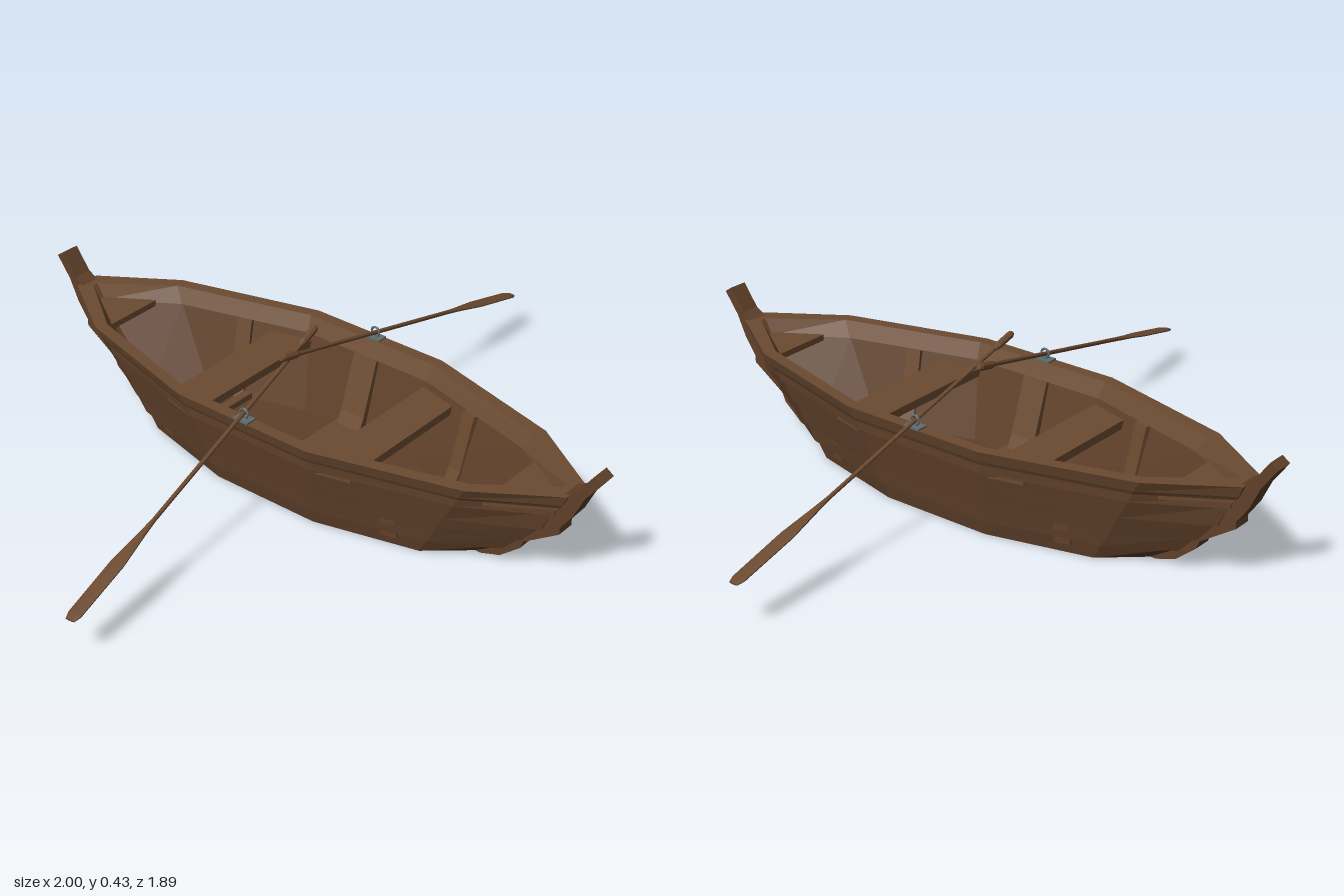
import * as THREE from 'three';

const wood = new THREE.MeshStandardMaterial({ color: 0x6b4a30, flatShading: true });
const darkWood = new THREE.MeshStandardMaterial({ color: 0x5f4029, flatShading: true });
const metal = new THREE.MeshStandardMaterial({ color: 0x5f6b6c, flatShading: true });

function add(parent, name, geometry, material = wood) {
  const mesh = new THREE.Mesh(geometry, material);
  mesh.name = name;
  parent.add(mesh);
  return mesh;
}

// Skin over a stack of equal rings (counter-clockwise about +y), closed at both ends
function loft(rings) {
  const n = rings[0].length, pos = [], index = [];
  rings.forEach(r => r.forEach(p => pos.push(...p)));
  for (let k = 0; k < rings.length - 1; k++) {
    for (let i = 0; i < n; i++) {
      const a = k * n + i, b = k * n + (i + 1) % n;
      index.push(a, b, b + n, a, b + n, a + n);
    }
  }
  const last = (rings.length - 1) * n;
  for (let i = 1; i < n - 1; i++) index.push(0, i + 1, i, last, last + i, last + i + 1);
  const g = new THREE.BufferGeometry();
  g.setAttribute('position', new THREE.Float32BufferAttribute(pos, 3));
  g.setIndex(index);
  const flat = g.toNonIndexed();
  flat.computeVertexNormals();
  return flat;
}

// Flat plate: outline in [x, z], lying from y to y + h
function slab(outline, y, h) {
  const shape = new THREE.Shape(outline.map(([x, z]) => new THREE.Vector2(x, -z)));
  return new THREE.ExtrudeGeometry(shape, { depth: h, bevelEnabled: false })
    .rotateX(-Math.PI / 2).translate(0, y, 0);
}

// Upright plate: outline in [x, y], centred on z
function plate(outline, depth) {
  const shape = new THREE.Shape(outline.map(p => new THREE.Vector2(...p)));
  return new THREE.ExtrudeGeometry(shape, { depth, bevelEnabled: false }).translate(0, 0, -depth / 2);
}

// Piecewise linear end position of the planking at height y
function endZ(y) {
  const pts = [[0, 0.58], [0.02, 0.63], [0.07, 0.69], [0.16, 0.78], [0.25, 0.83], [0.3, 0.85]];
  for (let i = 1; i < pts.length; i++) {
    if (y <= pts[i][0]) {
      return THREE.MathUtils.mapLinear(y, pts[i - 1][0], pts[i][0], pts[i - 1][1], pts[i][1]);
    }
  }
  return 0.85;
}

// Twelve-sided plan outline of the boat at height y, moved outward by d
function hullRing(y, d) {
  const t = y / 0.295, mix = THREE.MathUtils.lerp;
  const w1 = mix(0.2, 0.287, t) + d, z1 = mix(0.17, 0.22, t);
  const w2 = mix(0.125, 0.172, t) + d, z2 = mix(0.47, 0.64, t) + d * 0.3;
  const w3 = Math.max(0.03 + d, 0.008), z3 = endZ(y) + d;
  return [[w1, z1], [w1, -z1], [w2, -z2], [w3, -z3], [-w3, -z3], [-w2, -z2],
    [-w1, -z1], [-w1, z1], [-w2, z2], [-w3, z3], [w3, z3], [w2, z2]].map(([x, z]) => [x, y, z]);
}

function makeOar(name, tip, grip) {
  // Stations: distance from the blade tip, half width, half thickness
  const length = tip.distanceTo(grip);
  const stations = [[0, 0.014, 0.003], [0.02, 0.021, 0.004], [0.2, 0.022, 0.004], [0.31, 0.01, 0.006],
    [0.36, 0.006, 0.006], [length - 0.08, 0.006, 0.006], [length - 0.065, 0.011, 0.011],
    [length - 0.01, 0.011, 0.011], [length, 0.007, 0.007]];
  const rings = stations.map(([s, a, b]) => Array.from({ length: 8 }, (_, i) => {
    const q = (i + 0.5) * Math.PI / 4;
    return [a * Math.cos(q), s, -b * Math.sin(q)];
  }));
  const along = grip.clone().sub(tip).normalize();
  const across = new THREE.Vector3().crossVectors(along, new THREE.Vector3(0, 1, 0)).normalize();
  const up = new THREE.Vector3().crossVectors(across, along);
  const m = new THREE.Matrix4().makeBasis(across, along, up).setPosition(tip);
  const mesh = new THREE.Mesh(loft(rings).applyMatrix4(m), wood);
  mesh.name = name;
  return mesh;
}

export function createModel() {
  const model = new THREE.Group();
  model.name = 'rowingBoat';
  const boat = new THREE.Group();
  boat.name = 'boat';
  boat.position.x = 0.029;
  model.add(boat);

  // Overlapping planks outside, smooth wall and floor inside
  const edges = [0, 0.05, 0.1, 0.16, 0.22, 0.25];
  const rings = [];
  for (let i = 0; i < edges.length - 1; i++) {
    rings.push(hullRing(edges[i], i ? 0.005 : 0), hullRing(edges[i + 1], -0.003));
  }
  rings.push(hullRing(0.25, -0.027), hullRing(0.03, -0.027));
  add(boat, 'hull', loft(rings), darkWood);

  // Rim running all the way round
  const rim = [[0.25, -0.033], [0.25, 0.005], [0.262, 0.008], [0.295, 0.01], [0.295, -0.025], [0.25, -0.033]];
  const rimRings = rim.map(([y, d]) => hullRing(y, d));
  const rimGeometry = loft(rimRings);
  // Leave out the two end caps so the rim stays open
  const sides = (rimRings.length - 1) * 12 * 6;
  rimGeometry.setDrawRange(0, sides);
  for (const key of ['position', 'normal']) {
    const a = rimGeometry.getAttribute(key);
    rimGeometry.setAttribute(key, new THREE.BufferAttribute(a.array.slice(0, sides * 3), 3));
  }
  add(boat, 'rim', rimGeometry);

  // Floor battens and the midship ribs below the oarlocks
  add(boat, 'middleFloorFrame', new THREE.BoxGeometry(0.36, 0.025, 0.11).translate(0, 0.04, 0));
  const midRib = [[0.15, 0.03], [0.19, 0.03], [0.262, 0.25], [0.235, 0.25], [0.18, 0.09]];
  const endRib = [[-0.035, 0.03], [0.015, 0.03], [0.062, 0.25], [0.035, 0.25], [-0.005, 0.09]];
  for (const side of [1, -1]) {
    add(boat, 'middleRib', plate(midRib, 0.08)).rotation.y = side > 0 ? 0 : Math.PI;
  }

  for (const end of [1, -1]) {
    // Curved stem post with a raised head
    const stem = [[0.56, 0], [0.6, 0], [0.66, 0.02], [0.72, 0.07], [0.73, 0.095], [0.82, 0.155],
      [0.835, 0.165], [0.835, 0.185], [0.87, 0.235], [0.9, 0.3], [0.945, 0.362], [0.922, 0.378],
      [0.875, 0.312], [0.835, 0.29], [0.8, 0.22], [0.73, 0.14], [0.62, 0.04]];
    add(boat, 'stemPost', plate(stem, 0.056), darkWood).rotation.y = -end * Math.PI / 2;

    // Seat plank and triangular end deck
    const seat = [[-0.257, 0.2], [0.257, 0.2], [0.255, 0.225], [0.232, 0.322], [-0.232, 0.322], [-0.255, 0.225]];
    add(boat, 'seat', slab(seat, 0.205, 0.024)).rotation.y = end > 0 ? 0 : Math.PI;
    const deck = [[-0.135, 0.67], [0.135, 0.67], [0.03, 0.83], [-0.03, 0.83]];
    add(boat, 'endDeck', slab(deck, 0.238, 0.018)).rotation.y = end > 0 ? 0 : Math.PI;

    // Floor batten and ribs that follow the narrowing wall
    add(boat, 'floorBatten', new THREE.BoxGeometry(0.27, 0.02, 0.025).translate(0, 0.038, end * 0.35));
    for (const side of [1, -1]) {
      const rib = add(boat, 'endRib', plate(endRib, 0.045));
      rib.position.set(side * 0.144, 0, end * 0.39);
      rib.rotation.y = side > 0 ? -end * 0.27 : Math.PI + end * 0.27;
    }
  }

  // Oarlocks: base plate, pin and ring around the oar
  for (const side of [1, -1]) {
    const lock = new THREE.Group();
    lock.name = 'oarlock';
    lock.position.set(side * 0.28, 0.295, 0);
    add(lock, 'lockPlate', new THREE.BoxGeometry(0.034, 0.006, 0.05).translate(0, 0.002, 0), metal);
    add(lock, 'lockPin', new THREE.CylinderGeometry(0.004, 0.004, 0.012, 8).translate(0, 0.006, 0), metal);
    add(lock, 'lockRing', new THREE.TorusGeometry(0.013, 0.0035, 6, 14).rotateY(Math.PI / 2)
      .translate(0, 0.02, 0), metal);
    boat.add(lock);
  }

  // Oars crossing above the middle of the boat
  model.add(makeOar('rightOar', new THREE.Vector3(-1, 0.12, 0.09), new THREE.Vector3(0.1, 0.405, -0.045)));
  model.add(makeOar('leftOar', new THREE.Vector3(1, 0.135, -0.01), new THREE.Vector3(-0.11, 0.42, 0.008)));
  return model;
}
